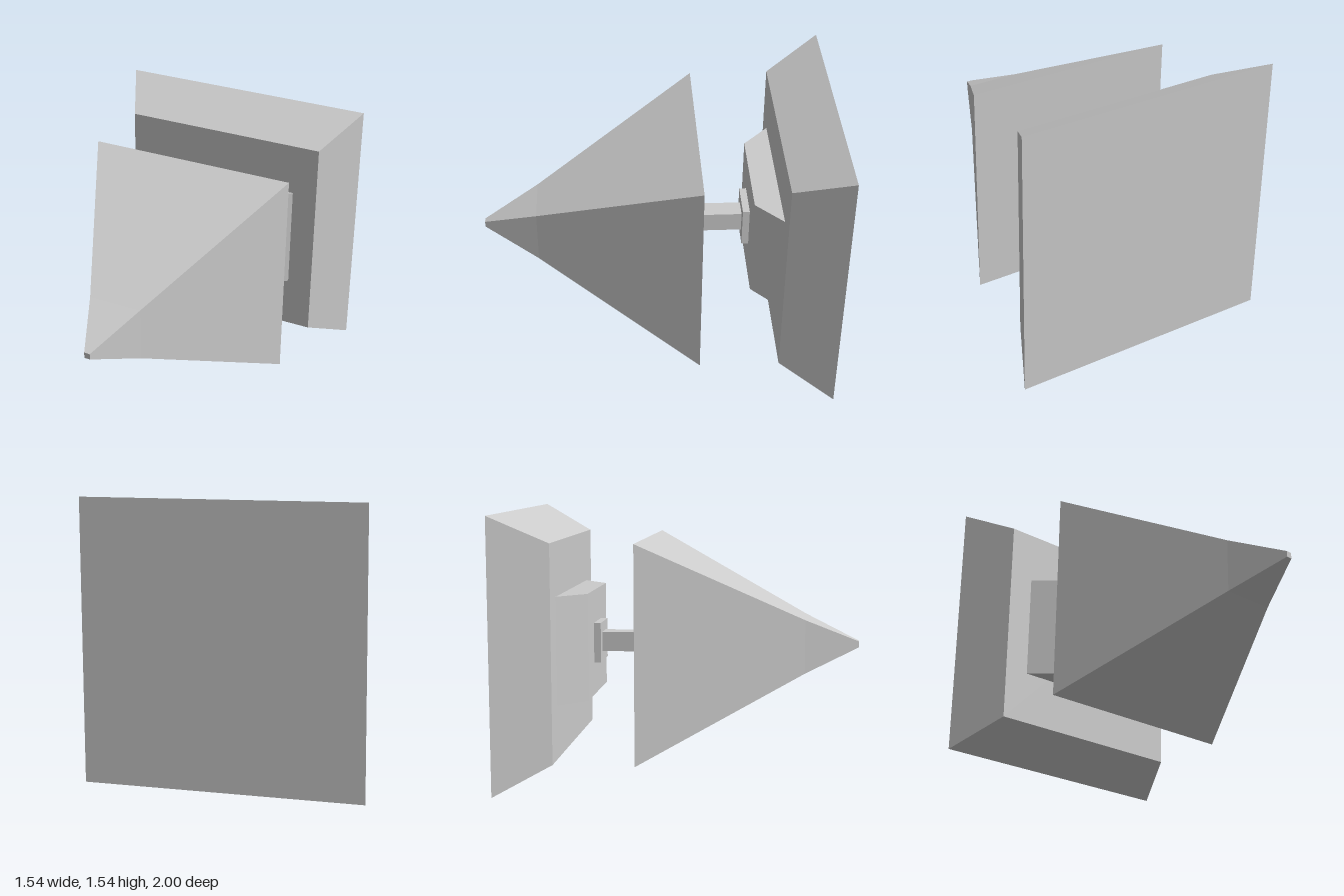
import * as THREE from 'three';

const CENTRE_Y = 0.77;

// Square-sided solid along z through sections [z, halfWidth, halfHeight], back to front
function loft(name, sections, material) {
  const steps = sections.length - 1;
  const box = new THREE.BoxGeometry(2, 2, 1, 1, 1, steps);
  const pos = box.attributes.position;
  for (let i = 0; i < pos.count; i++) {
    const [z, hx, hy] = sections[Math.round((pos.getZ(i) + 0.5) * steps)];
    pos.setXYZ(i, pos.getX(i) * hx, pos.getY(i) * hy, z);
  }
  const geometry = box.toNonIndexed();
  geometry.computeVertexNormals();
  const mesh = new THREE.Mesh(geometry, material);
  mesh.name = name;
  mesh.position.y = CENTRE_Y;
  return mesh;
}

export function createModel() {
  const group = new THREE.Group();
  group.name = 'pyramidKnob';
  const grey = new THREE.MeshStandardMaterial({ color: 0xcccccc, flatShading: true });

  group.add(
    // Flared square plate at the back
    loft('backPlate', [[-1, 0.77, 0.77], [-0.69, 0.615, 0.615]], grey),
    // Block with sloping left and right sides
    loft('mountBlock', [[-0.69, 0.465, 0.308], [-0.54, 0.305, 0.308]], grey),
    // Thin stem between two collars
    loft('rearCollar', [[-0.54, 0.116, 0.116], [-0.5, 0.116, 0.116]], grey),
    loft('stem', [[-0.5, 0.057, 0.057], [-0.27, 0.057, 0.057]], grey),
    loft('frontCollar', [[-0.27, 0.095, 0.095], [-0.23, 0.095, 0.095]], grey),
    // Pyramid with a slight bend near its blunt tip
    loft('pyramid', [[-0.23, 0.615, 0.615], [0.69, 0.155, 0.155], [1, 0.017, 0.017]], grey),
  );
  return group;
}
